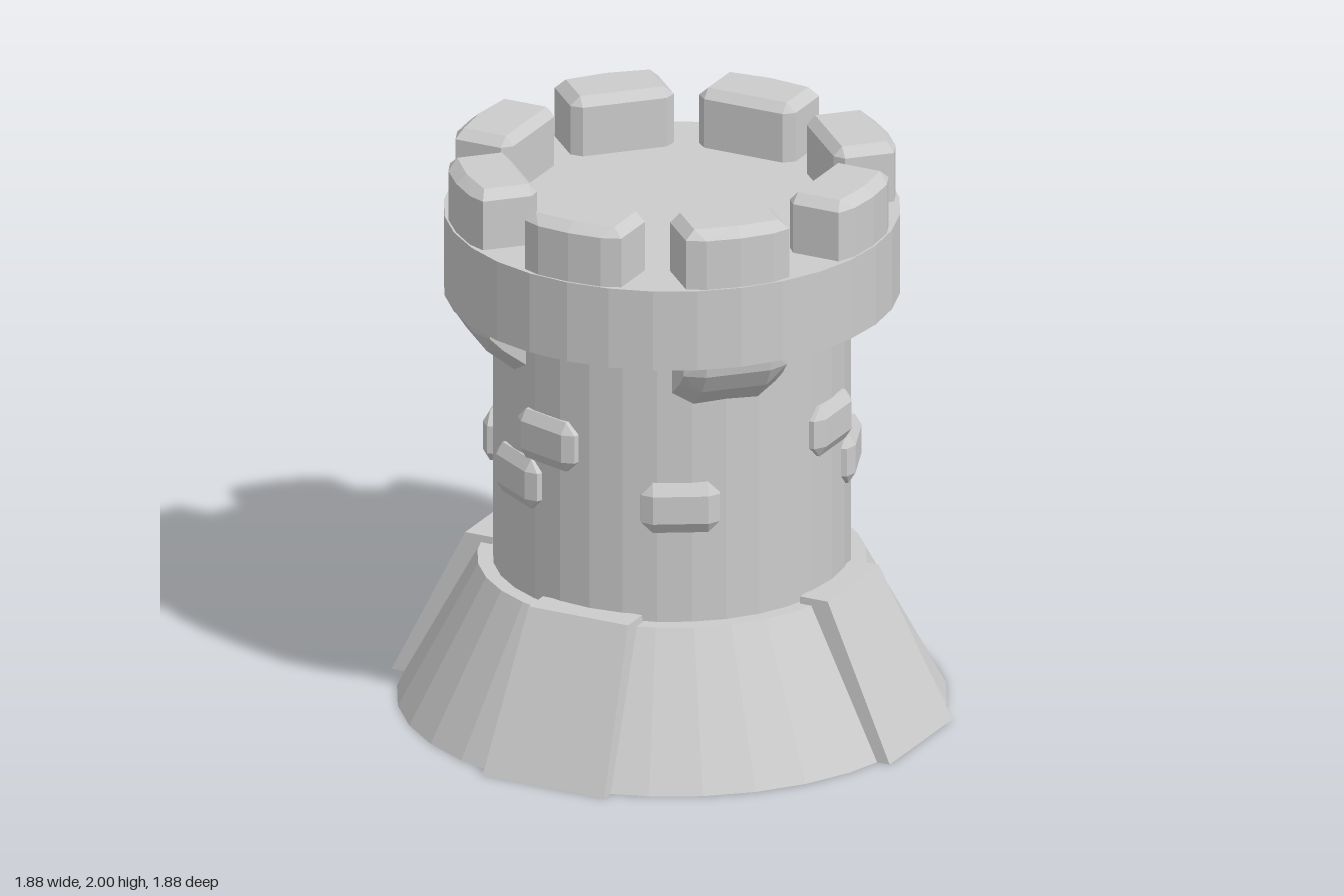
import * as THREE from 'three';
import { ConvexGeometry } from 'three/addons/geometries/ConvexGeometry.js';

const material = new THREE.MeshStandardMaterial({ color: 0xcccccc, flatShading: true });

function addMesh(parent, name, geometry, angle = 0) {
  const mesh = new THREE.Mesh(geometry, material);
  mesh.name = name;
  mesh.rotation.y = angle;
  parent.add(mesh);
  return mesh;
}

// Convex block mirrored in x; points are [halfWidth, y, distance from the tower axis]
function mirroredBlock(points) {
  const all = [];
  for (const [x, y, z] of points) {
    all.push(new THREE.Vector3(x, y, z));
    if (x > 0) all.push(new THREE.Vector3(-x, y, z));
  }
  return new ConvexGeometry(all);
}

function addDrum(parent, name, rTop, rBottom, y0, y1) {
  const geometry = new THREE.CylinderGeometry(rTop, rBottom, y1 - y0, 32);
  geometry.translate(0, (y0 + y1) / 2, 0);
  addMesh(parent, name, geometry);
}

// Battlement block: chamfered, with a slightly bowed outer face
function merlonGeometry() {
  const plan = [[0.15, 0.53], [0.185, 0.56], [0.185, 0.735], [0.12, 0.762], [0, 0.772]];
  const top = [[0.15, 0.56], [0.15, 0.72], [0, 0.735]];
  return mirroredBlock([
    ...plan.map(([x, z]) => [x, 1.77, z]),
    ...plan.map(([x, z]) => [x, 1.968, z]),
    ...top.map(([x, z]) => [x, 2, z]),
  ]);
}

// Bracket below the parapet: full profile in the middle, smaller one at the ends
function corbelGeometry() {
  const middle = [[0.55, 1.3], [0.595, 1.305], [0.7, 1.39], [0.745, 1.46], [0.755, 1.52], [0.55, 1.52]];
  const end = [[0.55, 1.34], [0.58, 1.35], [0.66, 1.41], [0.71, 1.46], [0.715, 1.52], [0.55, 1.52]];
  return mirroredBlock([
    ...middle.map(([z, y]) => [0.115, y, z]),
    ...end.map(([z, y]) => [0.185, y, z]),
  ]);
}

// Raised brick in the wall, centred on height y
function brickGeometry(y) {
  const points = [];
  for (const s of [-1, 1]) {
    for (const z of [0.52, 0.615]) {
      points.push([0.135, y + s * 0.05, z], [0.095, y + s * 0.09, z]);
    }
    points.push([0.095, y + s * 0.05, 0.64]);
  }
  return mirroredBlock(points);
}

// Sloping slab laid on the foot
function buttressGeometry() {
  return mirroredBlock([
    [0.233, 0, 0.955], [0.233, 0, 0.6],
    [0.19, 0.535, 0.695], [0.19, 0.535, 0.59],
  ]);
}

export function createModel() {
  const tower = new THREE.Group();
  tower.name = 'tower';

  addDrum(tower, 'foot', 0.665, 0.94, 0, 0.51);
  addDrum(tower, 'shaft', 0.612, 0.612, 0.45, 1.55);
  addDrum(tower, 'parapet', 0.78, 0.78, 1.5, 1.79);

  const merlon = merlonGeometry();
  for (let i = 0; i < 8; i++) addMesh(tower, 'merlon', merlon, i * Math.PI / 4);

  const corbel = corbelGeometry();
  const buttress = buttressGeometry();
  for (let i = 0; i < 4; i++) {
    addMesh(tower, 'corbel', corbel, i * Math.PI / 2);
    addMesh(tower, 'buttress', buttress, (i + 0.5) * Math.PI / 2);
  }

  // Bricks scattered round the shaft: [angle in degrees from the front, height]
  const bricks = [
    [-15, 0.93], [45, 1.11], [66, 0.93], [143, 0.93],
    [189, 1.15], [239, 0.93], [283, 0.93], [298, 1.11],
  ];
  for (const [degrees, y] of bricks) {
    addMesh(tower, 'brick', brickGeometry(y), THREE.MathUtils.degToRad(degrees));
  }

  return tower;
}
